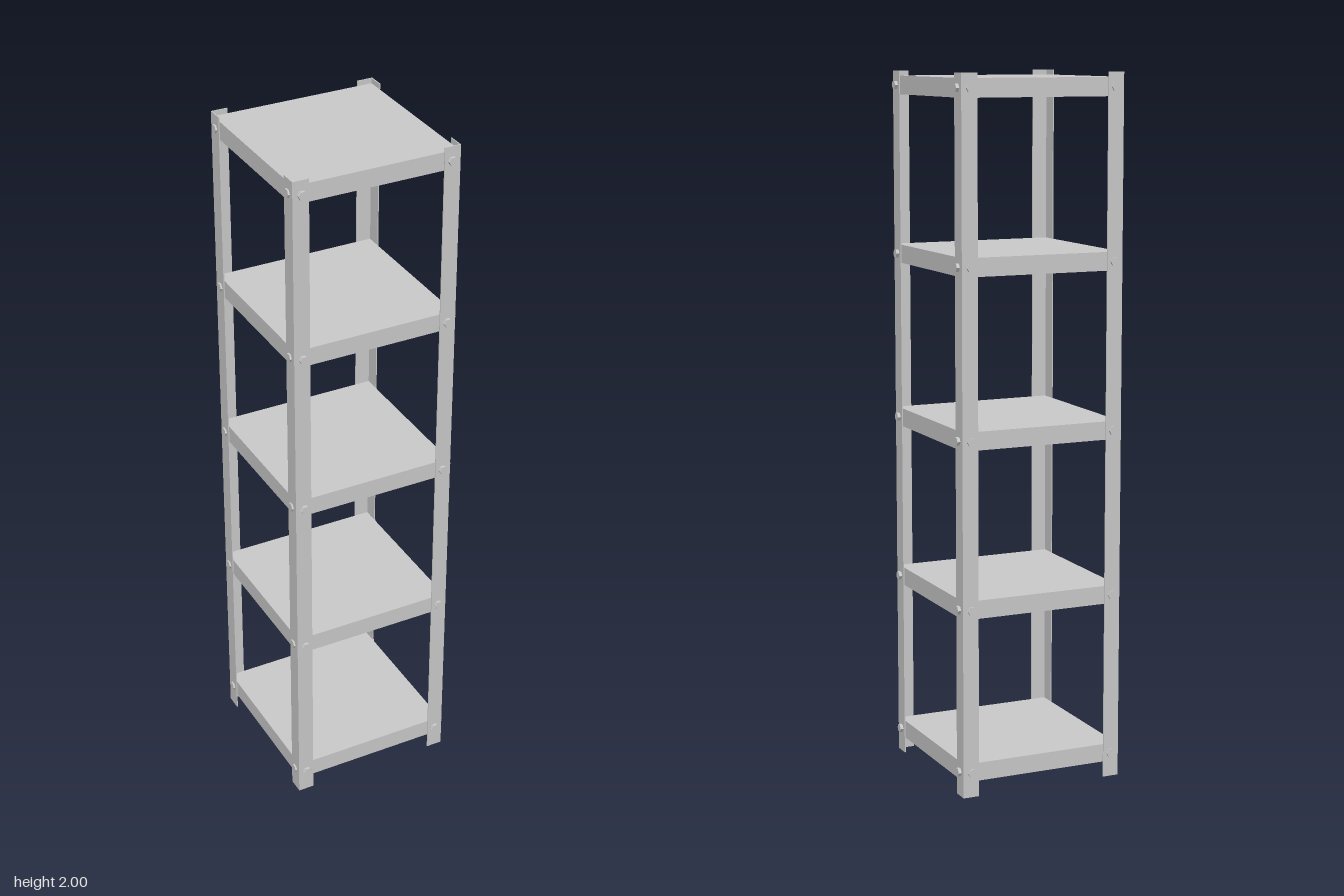
import * as THREE from 'three';

const OFFSET = -0.003;      // frame sits slightly off the bolt-head bounds
const OUTER = 0.242;        // half width over the posts
const FLANGE = 0.047;
const SHEET = 0.003;
const BOLT = 0.2165;        // bolt distance from the frame centre
const LEVELS = [0.07, 0.537, 1.01, 1.484, 1.96];

export function createModel() {
  const model = new THREE.Group();
  const frame = new THREE.Group();
  frame.name = 'shelvingUnit';
  frame.position.set(OFFSET, 0, OFFSET);
  model.add(frame);
  const metal = new THREE.MeshStandardMaterial({ color: 0xcccccc, flatShading: true });

  const add = (geometry, name, x, y, z) => {
    const mesh = new THREE.Mesh(geometry, metal);
    mesh.name = name;
    mesh.position.set(x, y, z);
    frame.add(mesh);
    return mesh;
  };

  // Shelves
  const shelfGeometry = new THREE.BoxGeometry(0.475, 0.052, 0.475);
  LEVELS.forEach((y) => add(shelfGeometry, 'shelf', 0, y, 0));

  // Angle-section post, corner at the origin with flanges along -x and -z
  const section = new THREE.Shape([
    [0, 0], [-FLANGE, 0], [-FLANGE, -SHEET], [-SHEET, -SHEET], [-SHEET, -FLANGE], [0, -FLANGE],
  ].map(([x, y]) => new THREE.Vector2(x, y)));
  const postGeometry = new THREE.ExtrudeGeometry(section, { depth: 2, bevelEnabled: false });
  postGeometry.rotateX(-Math.PI / 2);

  // Hexagonal bolt heads, longer on the positive sides
  const boltHead = (sign, axis) => {
    const depth = sign > 0 ? 0.009 : 0.005;
    const geometry = new THREE.CylinderGeometry(0.0125, 0.0125, depth, 6);
    if (axis === 'x') geometry.rotateZ(Math.PI / 2);
    else geometry.rotateY(Math.PI / 2).rotateX(Math.PI / 2);
    return { geometry, at: sign * (OUTER + depth / 2) };
  };

  const corners = [[1, -1], [-1, -1], [-1, 1], [1, 1]];
  corners.forEach(([sx, sz], i) => {
    const post = add(postGeometry, 'cornerPost', sx * OUTER, 0, sz * OUTER);
    // The section's corner points to +x, +z after the quarter turns
    post.rotation.y = i * Math.PI / 2;
    const side = boltHead(sx, 'x');
    const face = boltHead(sz, 'z');
    for (const y of LEVELS) {
      add(side.geometry, 'sideBolt', side.at, y, sz * BOLT);
      add(face.geometry, 'faceBolt', sx * BOLT, y, face.at);
    }
  });

  return model;
}
